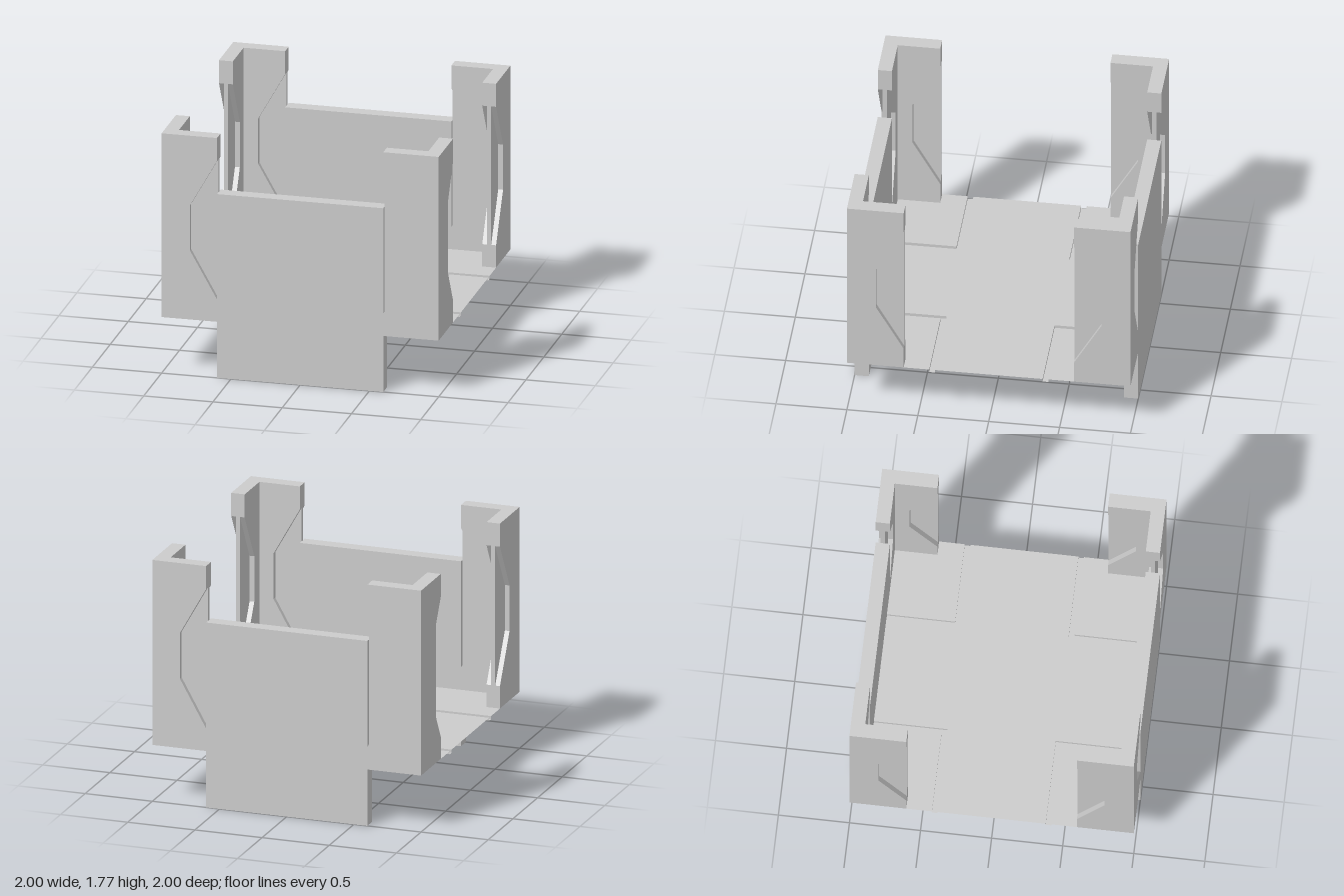
import * as THREE from 'three';

const material = new THREE.MeshStandardMaterial({ color: 0xcccccc, side: THREE.DoubleSide, flatShading: true });
const FLOOR = 0.415, TOP = 1.775, PANEL_TOP = 1.36, WALL = 0.1;

function mesh(name, geometry) {
  const m = new THREE.Mesh(geometry, material);
  m.name = name;
  return m;
}

const outline = (points) => new THREE.Shape(points.map(([x, y]) => new THREE.Vector2(x, y)));

// Removes every triangle whose three corners all satisfy the test
function dropFaces(geometry, test) {
  const source = geometry.index ? geometry.toNonIndexed() : geometry;
  const p = source.attributes.position, kept = [];
  for (let i = 0; i < p.count; i += 3) {
    const tri = [0, 1, 2].map((k) => new THREE.Vector3().fromBufferAttribute(p, i + k));
    if (!tri.every(test)) tri.forEach((v) => kept.push(v.x, v.y, v.z));
  }
  const result = new THREE.BufferGeometry();
  result.setAttribute('position', new THREE.Float32BufferAttribute(kept, 3));
  result.computeVertexNormals();
  return result;
}

// Flat sheet in the floor plane, given as x, z pairs
function sheet(points, y) {
  return new THREE.ShapeGeometry(outline(points.map(([x, z]) => [x, -z])))
    .rotateX(-Math.PI / 2).translate(0, y, 0);
}

// Vertical ribbon along an x, z path
function ribbon(path, y0, y1) {
  const pos = [];
  for (let i = 0; i < path.length - 1; i++) {
    const [ax, az] = path[i], [bx, bz] = path[i + 1];
    pos.push(ax, y0, az, bx, y0, bz, bx, y1, bz, ax, y0, az, bx, y1, bz, ax, y1, az);
  }
  const g = new THREE.BufferGeometry();
  g.setAttribute('position', new THREE.Float32BufferAttribute(pos, 3));
  g.computeVertexNormals();
  return g;
}

// One arm of a corner post: hollow wall, open below, mitred at the corner
function postArm() {
  const notch = [[0.6, 1.605], [0.795, 1.26], [0.795, 0.925], [0.6, 0.58]];
  const wall = new THREE.ExtrudeGeometry(
    outline([[0.6, FLOOR], [1, FLOOR], [1, TOP], [0.6, TOP], ...notch]),
    { depth: WALL, bevelEnabled: false }).translate(0, 0, 1 - WALL);
  const p = wall.attributes.position;
  for (let i = 0; i < p.count; i++) {
    if (p.getX(i) > 0.99 && p.getZ(i) < 0.95) p.setX(i, 1 - WALL);
  }
  const arm = new THREE.Group();
  arm.name = 'postArm';
  arm.add(mesh('postWall', dropFaces(wall, (v) => v.y < FLOOR + 0.001 || v.x > 0.85)));

  // Thinner web filling the notch, recessed on both sides
  const web = new THREE.ExtrudeGeometry(outline(notch), { depth: 0.03, bevelEnabled: false });
  arm.add(mesh('recessedWeb', web.translate(0, 0, 0.935)));
  return arm;
}

// Post, floor tile and groove of one corner (+x, +z)
function corner() {
  const g = new THREE.Group();
  g.name = 'corner';
  const post = new THREE.Group();
  post.name = 'cornerPost';
  const side = postArm();
  side.rotation.y = Math.PI / 2;
  side.scale.x = -1;
  post.add(postArm(), side);
  g.add(post);

  g.add(mesh('cornerTile', sheet(
    [[0.42, 0.42], [1, 0.42], [1, 0.6], [0.9, 0.6], [0.9, 0.9], [0.42, 0.9]], FLOOR)));

  // L-shaped groove sunk below the floor
  const low = 0.393;
  const inner = [[1, 0.38], [0.38, 0.38], [0.38, 0.9]];
  const outer = [[1, 0.42], [0.42, 0.42], [0.42, 0.9]];
  g.add(mesh('grooveBottom', sheet([...inner, ...[...outer].reverse()], low)));
  g.add(mesh('grooveInnerSide', ribbon(inner, low, FLOOR)));
  g.add(mesh('grooveOuterSide', ribbon(outer, low, FLOOR)));
  return g;
}

export function createModel() {
  const model = new THREE.Group();
  model.name = 'cornerPostTray';

  // Cross-shaped middle of the floor
  const a = 0.38, b = 0.9;
  model.add(mesh('floor', sheet([
    [-a, -b], [a, -b], [a, -a], [1, -a], [1, a], [a, a],
    [a, b], [-a, b], [-a, a], [-1, a], [-1, -a], [-a, -a]], FLOOR)));

  // Front and back panels, hollow and open below
  for (const [name, s] of [['frontPanel', 1], ['backPanel', -1]]) {
    const box = new THREE.BoxGeometry(1.2, PANEL_TOP, WALL).translate(0, PANEL_TOP / 2, s * (1 - WALL / 2));
    model.add(mesh(name, dropFaces(box, (v) => v.y < 0.001)));
  }

  // Four mirrored corners
  for (const sx of [1, -1]) for (const sz of [1, -1]) {
    const c = corner();
    c.scale.set(sx, 1, sz);
    model.add(c);
  }
  return model;
}
